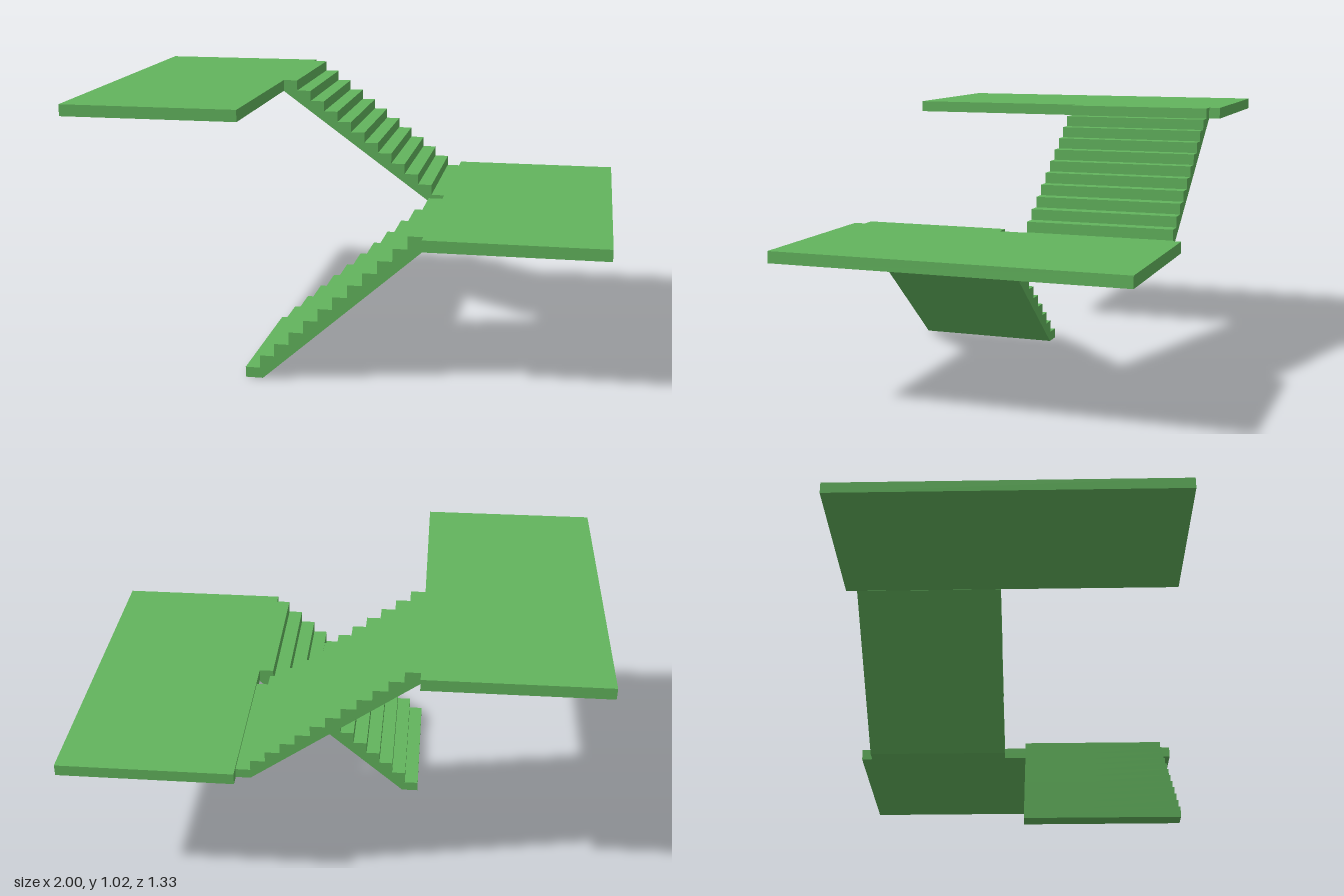
import * as THREE from 'three';

const STEPS = 12;
const END = 0.333; // half-length of a flight along x
const RUN = (2 * END) / STEPS;
const SLAB = 0.044;
const LOWER_TOP = 0.579;
const UPPER_TOP = 1.025;

const material = new THREE.MeshStandardMaterial({ color: 0x62b45d, flatShading: true });

// Landing slab spanning both flights in z
function landing(name, x, top) {
  const mesh = new THREE.Mesh(new THREE.BoxGeometry(1 - END, SLAB, 1.332), material);
  mesh.name = name;
  mesh.position.set(x, top - SLAB / 2, 0);
  return mesh;
}

// Stepped side profile rising toward +x (dir 1) or -x (dir -1), extruded across the width
function flight(name, { dir, base, firstTop, top, foot, underEnd, zCentre }) {
  const rise = (top - firstTop) / (STEPS - 1);
  const points = [new THREE.Vector2(-END * dir, base)];
  for (let i = 0; i < STEPS; i++) {
    const y = firstTop + i * rise;
    points.push(new THREE.Vector2((-END + i * RUN) * dir, y));
    points.push(new THREE.Vector2((-END + (i + 1) * RUN) * dir, y));
  }
  // Sloping soffit back down to the flat foot
  points.push(new THREE.Vector2(END * dir, underEnd), new THREE.Vector2(foot * dir, base));
  const width = 0.577;
  const geometry = new THREE.ExtrudeGeometry(new THREE.Shape(points), { depth: width, bevelEnabled: false });
  const mesh = new THREE.Mesh(geometry, material);
  mesh.name = name;
  mesh.position.z = zCentre - width / 2;
  return mesh;
}

export function createModel() {
  const group = new THREE.Group();
  group.name = 'switchbackStaircase';
  const landingX = (1 + END) / 2;
  group.add(
    landing('lowerLanding', landingX, LOWER_TOP),
    landing('upperLanding', -landingX, UPPER_TOP),
    flight('lowerFlight', {
      dir: 1, base: 0, firstTop: 0.04, top: LOWER_TOP, foot: -0.267, underEnd: 0.525, zCentre: 0.3335,
    }),
    flight('upperFlight', {
      dir: -1, base: LOWER_TOP - SLAB, firstTop: 0.571, top: UPPER_TOP, foot: -0.278, underEnd: 0.98, zCentre: -0.3335,
    }),
  );
  return group;
}
